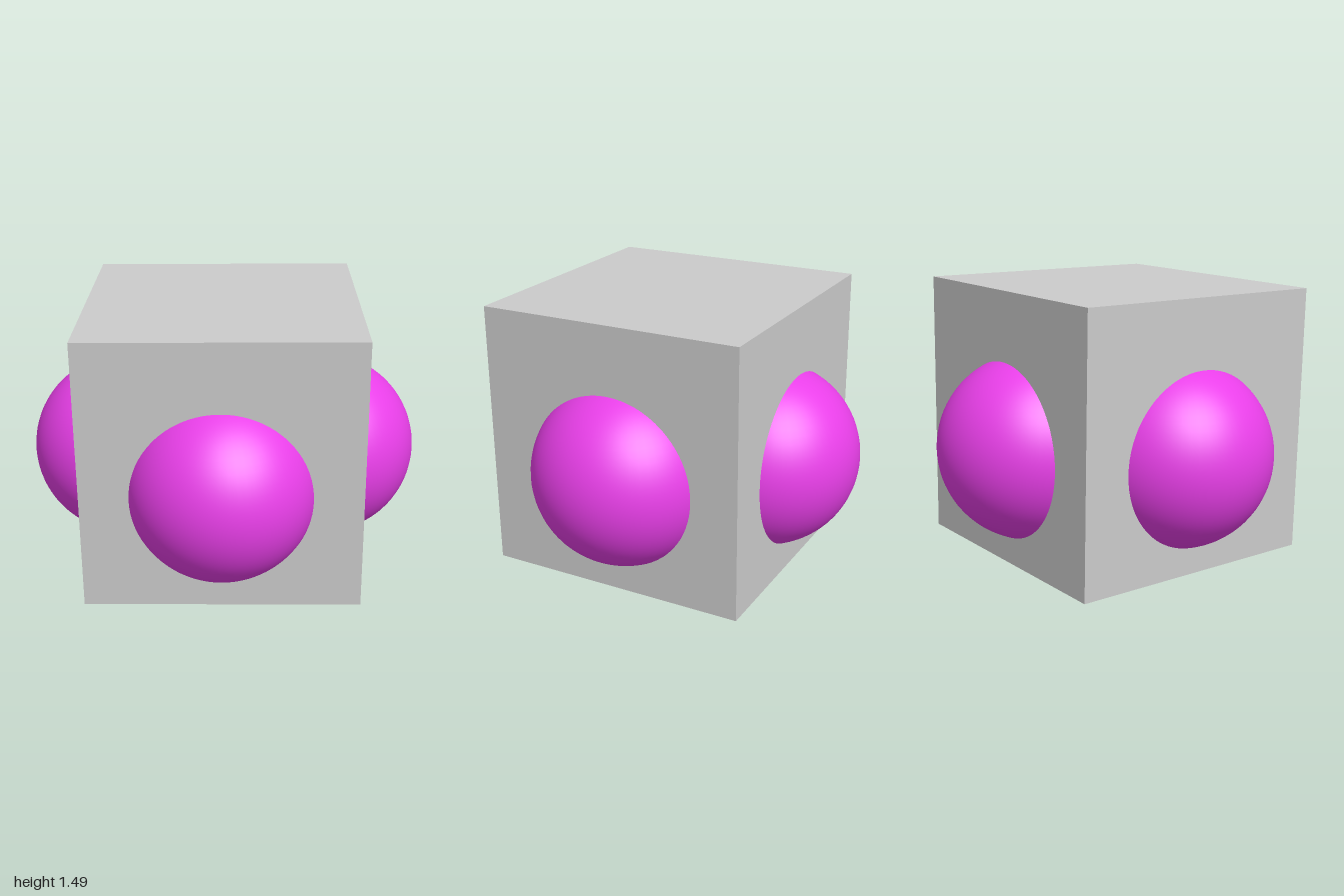
import * as THREE from 'three';

const SIDE = 1.453;       // cube edge
const RADIUS = 0.5;       // sphere radius
const REACH = 0.555;      // sphere centre distance from the cube axis
const DROP = -0.114;      // sphere centres sit a little below the cube centre

export function createModel() {
  const model = new THREE.Group();
  model.name = 'cubeWithSpheres';

  // Turned about the vertical, then tipped slightly forward
  const body = new THREE.Group();
  body.name = 'body';
  body.position.y = 0.743;
  body.rotation.set(0.0165, 0.515, 0);
  model.add(body);

  // Cube
  const cube = new THREE.Mesh(
    new THREE.BoxGeometry(SIDE, SIDE, SIDE),
    new THREE.MeshStandardMaterial({ color: 0xcccccc })
  );
  cube.name = 'cube';
  body.add(cube);

  // One sphere bulging from each of the four side faces
  const sphereGeometry = new THREE.SphereGeometry(RADIUS, 64, 40);
  const magenta = new THREE.MeshStandardMaterial({ color: 0xe93fe9 });
  ['front', 'left', 'back', 'right'].forEach((side, i) => {
    const angle = (i * Math.PI) / 2;
    const sphere = new THREE.Mesh(sphereGeometry, magenta);
    sphere.name = side + 'Sphere';
    sphere.position.set(Math.sin(angle) * REACH, DROP, Math.cos(angle) * REACH);
    body.add(sphere);
  });

  return model;
}
